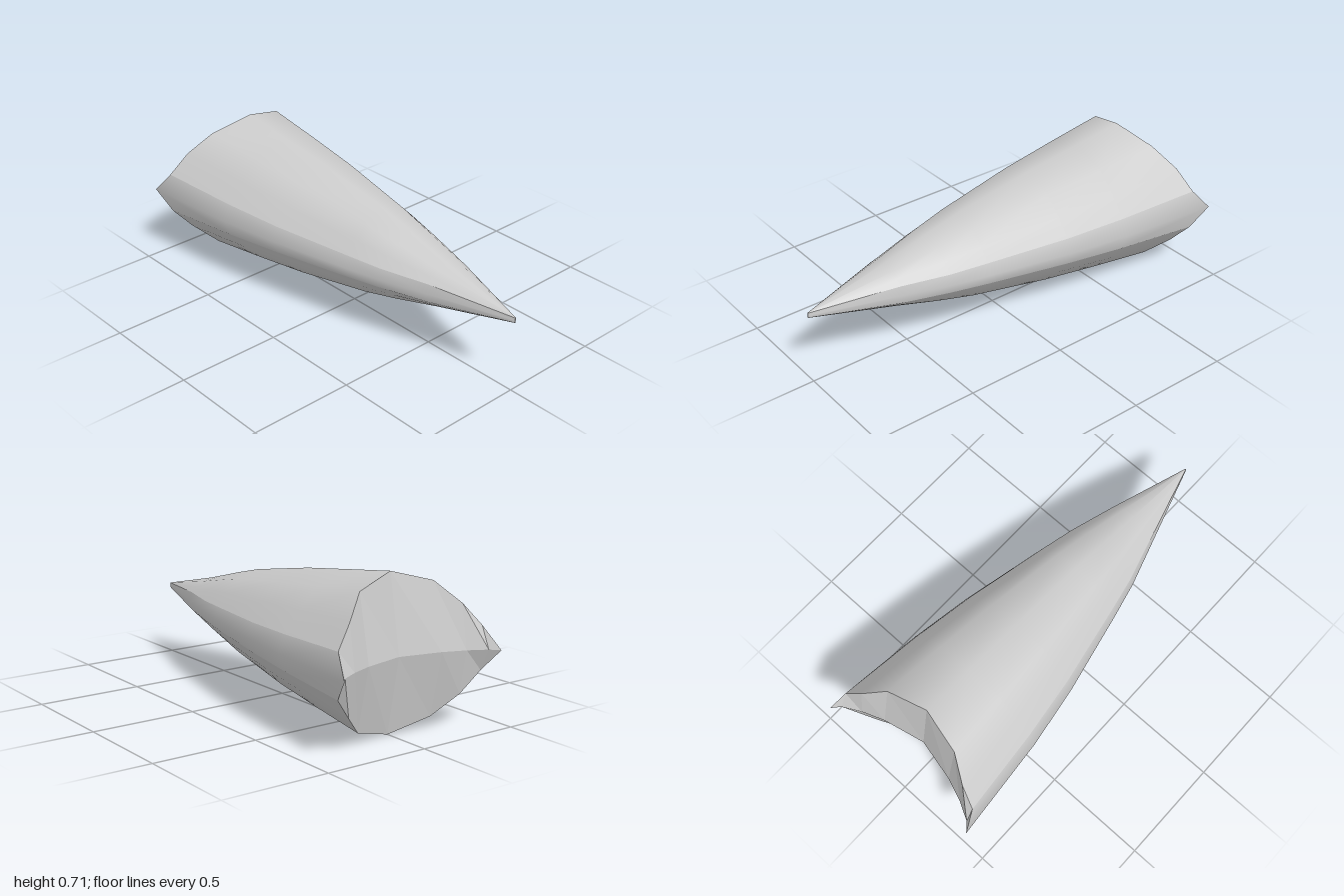
import * as THREE from 'three';

const MID = 0.355; // height of the long axis

// Stations from tip to rear: z, half height, half width, half height of the side bevel
const STATIONS = [
  [1.0, 0.013, 0.002, 0.012],
  [0.6, 0.105, 0.13, 0.044],
  [0.38, 0.165, 0.2, 0.048],
  [0.2, 0.21, 0.243, 0.055],
  [-0.2, 0.28, 0.33, 0.068],
  [-0.5, 0.32, 0.378, 0.081],
  [-0.765, 0.355, 0.425, 0.1],
];

// Columns from centre to side bevel: width share, height share above the bevel, rear rim z, rear middle z
const COLUMNS = [
  [0, 1, -0.765, -0.83],
  [0.47, 0.784, -0.81, -0.875],
  [0.718, 0.392, -0.88, -0.915],
  [0.918, 0, -0.915, -0.96],
];
const SIDE_Z = -1;

// Column index -3..3 gives the point across the section; sy picks the upper or lower half
function sectionPoint(station, column, sy) {
  const [z, h, w, bevel] = STATIONS[station];
  const [fx, fy, rim] = COLUMNS[Math.abs(column)];
  const atRear = station === STATIONS.length - 1;
  return [Math.sign(column) * fx * w, MID + sy * (bevel + (h - bevel) * fy), atRear ? rim : z];
}

function sidePoint(station, sx) {
  const [z, , w] = STATIONS[station];
  return [sx * w, MID, station === STATIONS.length - 1 ? SIDE_Z : z];
}

// Skin a list of equally long rows
function skin(name, rows, flip, flat) {
  const n = rows[0].length;
  const index = [];
  for (let r = 0; r < rows.length - 1; r++) {
    for (let c = 0; c < n - 1; c++) {
      const a = r * n + c, b = a + 1, d = a + n, e = d + 1;
      if (flip) index.push(a, b, d, b, e, d);
      else index.push(a, d, b, b, d, e);
    }
  }
  const geometry = new THREE.BufferGeometry();
  geometry.setAttribute('position', new THREE.Float32BufferAttribute(rows.flat(2), 3));
  geometry.setIndex(index);
  geometry.computeVertexNormals();
  const material = new THREE.MeshStandardMaterial({
    color: 0xcccccc, flatShading: flat, side: THREE.DoubleSide,
  });
  const mesh = new THREE.Mesh(geometry, material);
  mesh.name = name;
  return mesh;
}

export function createModel() {
  const group = new THREE.Group();
  group.name = 'spike';
  const across = [-3, -2, -1, 0, 1, 2, 3];
  const stations = STATIONS.map((_, i) => i);

  // Upper and lower curved shells
  for (const sy of [1, -1]) {
    const rows = stations.map((s) => across.map((c) => sectionPoint(s, c, sy)));
    group.add(skin(sy > 0 ? 'upperShell' : 'lowerShell', rows, sy < 0, false));
  }

  // Narrow bevels along both sides
  for (const sx of [1, -1]) {
    const rows = stations.map((s) => [
      sectionPoint(s, 3 * sx, 1), sidePoint(s, sx), sectionPoint(s, 3 * sx, -1),
    ]);
    group.add(skin(sx > 0 ? 'leftBevel' : 'rightBevel', rows, sx < 0, false));
  }

  // Hollowed rear face, folded along its middle
  const last = STATIONS.length - 1;
  const rear = across.map((c) => {
    const top = sectionPoint(last, c, 1);
    return [top, [top[0], MID, COLUMNS[Math.abs(c)][3]], sectionPoint(last, c, -1)];
  });
  const corner = (sx) => [0, 1, 2].map(() => sidePoint(last, sx));
  group.add(skin('rearFace', [corner(-1), ...rear, corner(1)], false, true));

  // Blunt tip
  const tip = [1, -1].map((sy) => [sectionPoint(0, -3, sy), sectionPoint(0, 3, sy)]);
  group.add(skin('tip', tip, false, true));

  return group;
}
